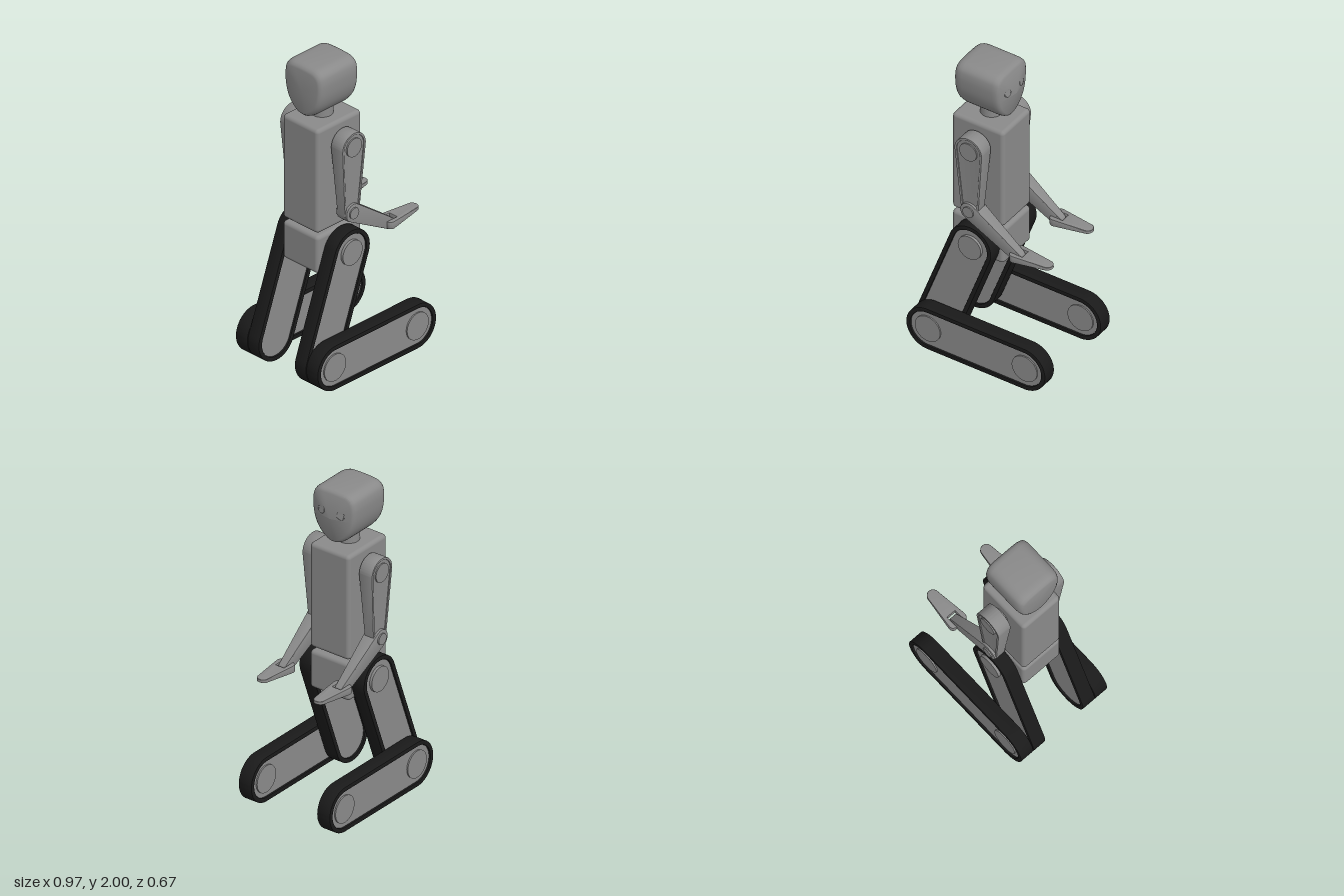
import * as THREE from 'three';
import { toCreasedNormals } from 'three/addons/utils/BufferGeometryUtils.js';
import { RoundedBoxGeometry } from 'three/addons/geometries/RoundedBoxGeometry.js';

const grey = new THREE.MeshStandardMaterial({ color: 0x8a8a8a });
const black = new THREE.MeshStandardMaterial({ color: 0x1a1a1a });

function add(parent, name, geometry, x = 0, y = 0, z = 0, material = grey) {
  const mesh = new THREE.Mesh(geometry, material);
  mesh.name = name;
  mesh.position.set(x, y, z);
  parent.add(mesh);
  return mesh;
}

// Stadium outline along +x with end radii r1 and r2
function outline(Type, length, r1, r2) {
  const a = Math.acos((r1 - r2) / length);
  const path = new Type();
  path.absarc(0, 0, r1, a, 2 * Math.PI - a, false);
  path.absarc(length, 0, r2, -a, a, false);
  path.closePath();
  return path;
}

// Extrusion centred on z, whose thickness changes from d1 at x = 0 to d2 at x = length
function slab(shape, length, d1, d2, bevel) {
  const geo = new THREE.ExtrudeGeometry(shape, {
    depth: 1 - 2 * bevel / d1, curveSegments: 24, bevelEnabled: bevel > 0,
    bevelThickness: bevel / d1, bevelSize: bevel, bevelOffset: -bevel, bevelSegments: 2,
  });
  geo.translate(0, 0, -0.5 + bevel / d1);
  const p = geo.attributes.position;
  for (let i = 0; i < p.count; i++) {
    const t = THREE.MathUtils.clamp(p.getX(i) / length, 0, 1);
    p.setZ(i, p.getZ(i) * THREE.MathUtils.lerp(d1, d2, t));
  }
  return toCreasedNormals(geo, 0.5);
}

// Limb from point a to point b: an outer rim around a recessed panel
function limb(parent, name, a, b, z, { r1, r2, d1, d2 = d1, rim, inset, bevel = 0.004, rimMaterial = grey }) {
  const length = Math.hypot(b[0] - a[0], b[1] - a[1]);
  const group = new THREE.Group();
  group.name = name;
  group.position.set(a[0], a[1], z);
  group.rotation.z = Math.atan2(b[1] - a[1], b[0] - a[0]);
  const shape = outline(THREE.Shape, length, r1, r2);
  if (rim) {
    shape.holes.push(outline(THREE.Path, length, r1 - rim, r2 - rim));
    const panel = outline(THREE.Shape, length, r1 - rim + 0.004, r2 - rim + 0.004);
    add(group, name + 'Panel', slab(panel, length, d1 - 2 * inset, d2 - 2 * inset, 0));
  }
  add(group, name + 'Rim', slab(shape, length, d1, d2, bevel), 0, 0, 0, rimMaterial);
  parent.add(group);
}

// Round pin running along z
function pin(parent, name, [x, y], z, radius, width) {
  add(parent, name, new THREE.CylinderGeometry(radius, radius, width, 40).rotateX(Math.PI / 2), x, y, z);
}

// Head: one chin-shaped outline swept from the flat back to the pointed face
function headGeometry() {
  const half = [[0.025, -0.17], [0.075, -0.142], [0.122, -0.085], [0.146, -0.02], [0.155, 0.05],
    [0.154, 0.1], [0.143, 0.138], [0.11, 0.163], [0.05, 0.17]];
  const ring = [...half.map(([z, y]) => [-z, y]), ...half.slice().reverse()];
  const curve = new THREE.CatmullRomCurve3(ring.map(([z, y]) => new THREE.Vector3(0, y, z)), true);
  const n = 64, pts = curve.getPoints(n).slice(0, n);
  const sections = [[-0.28, 0.001], [-0.28, 0.8], [-0.275, 0.88], [-0.262, 0.945], [-0.245, 0.98],
    [-0.22, 1], [-0.01, 1], [0.012, 0.98], [0.026, 0.94], [0.034, 0.86], [0.06, 0.001]];
  const pos = [], index = [];
  sections.forEach(([x, s], i) => {
    pts.forEach((p, j) => {
      pos.push(x, 1.83 + p.y * s, p.z * s);
      if (i === sections.length - 1) return;
      const a = i * n + j, b = i * n + (j + 1) % n;
      index.push(a, b, a + n, b, b + n, a + n);
    });
  });
  const geo = new THREE.BufferGeometry();
  geo.setAttribute('position', new THREE.Float32BufferAttribute(pos, 3));
  geo.setIndex(index);
  return toCreasedNormals(geo, 0.6);
}

// Flat hand, forked at the wrist and thinner toward the fingertips
function handGeometry() {
  const s = new THREE.Shape();
  s.moveTo(0.06, 0.03);
  s.lineTo(-0.022, 0.03);
  s.quadraticCurveTo(-0.022, 0.062, 0.012, 0.061);
  s.lineTo(0.221, 0.035);
  s.absarc(0.215, 0, 0.036, Math.PI / 2 - 0.15, -Math.PI / 2 + 0.15, true);
  s.lineTo(0.012, -0.061);
  s.quadraticCurveTo(-0.022, -0.062, -0.022, -0.03);
  s.lineTo(0.06, -0.03);
  s.closePath();
  return slab(s, 0.25, 0.048, 0.02, 0.004).rotateX(-Math.PI / 2);
}

export function createModel() {
  const model = new THREE.Group();
  model.name = 'kneelingRobot';

  // Head, neck and trunk
  add(model, 'head', headGeometry());
  add(model, 'neck', new THREE.CylinderGeometry(0.067, 0.067, 0.14, 40), -0.115, 1.67);
  add(model, 'torso', new RoundedBoxGeometry(0.36, 0.69, 0.29, 4, 0.025), -0.115, 1.282);
  add(model, 'waist', new THREE.CylinderGeometry(0.07, 0.07, 0.08, 40), -0.115, 0.93);
  add(model, 'pelvis', new RoundedBoxGeometry(0.36, 0.25, 0.29, 4, 0.025), -0.115, 0.793);

  const shoulder = [-0.106, 1.488], elbow = [-0.106, 1.05], wrist = [0.211, 0.843];
  const hip = [-0.106, 0.78], knee = [-0.337, 0.146], toe = [0.337, 0.146];

  for (const s of [1, -1]) {
    const side = new THREE.Group();
    side.name = s > 0 ? 'leftLimbs' : 'rightLimbs';
    model.add(side);

    // Eye: disc inside a thin ring, tilted to follow the face
    const eye = new THREE.Group();
    eye.name = 'eye';
    eye.position.set(0.046, 1.866, s * 0.07);
    eye.rotation.set(0, -s * 0.18, 0.14);
    add(eye, 'pupil', new THREE.CylinderGeometry(0.024, 0.024, 0.02, 32).rotateZ(Math.PI / 2), -0.008);
    add(eye, 'eyeRing', new THREE.TorusGeometry(0.024, 0.003, 8, 32).rotateY(Math.PI / 2));
    side.add(eye);

    // Arm
    const armZ = s * 0.208;
    limb(side, 'upperArm', shoulder, elbow, armZ,
      { r1: 0.095, r2: 0.06, d1: 0.096, d2: 0.062, rim: 0.015, inset: 0.006, bevel: 0.003 });
    limb(side, 'forearm', elbow, wrist, armZ, { r1: 0.058, r2: 0.036, d1: 0.088, d2: 0.05 });
    pin(side, 'shoulderPin', shoulder, armZ, 0.06, 0.1);
    pin(side, 'shoulderAxle', shoulder, s * 0.155, 0.05, 0.05);
    pin(side, 'elbowPin', elbow, armZ, 0.036, 0.104);
    pin(side, 'wristPin', wrist, armZ, 0.018, 0.11);
    add(side, 'hand', handGeometry(), 0.2, 0.848, armZ).rotation.z = 0.04;

    // Leg: two belted links, side by side at the knee
    const belt = { r1: 0.146, r2: 0.146, rim: 0.028, inset: 0.012, rimMaterial: black };
    limb(side, 'thigh', hip, knee, s * 0.192, { ...belt, d1: 0.092 });
    limb(side, 'shin', knee, toe, s * 0.288, { ...belt, d1: 0.095 });
    pin(side, 'hipPin', hip, s * 0.193, 0.08, 0.1);
    pin(side, 'kneeAxle', knee, s * 0.238, 0.06, 0.1);
    pin(side, 'kneeWheel', knee, s * 0.288, 0.088, 0.088);
    pin(side, 'toeWheel', toe, s * 0.288, 0.088, 0.088);
  }
  return model;
}
